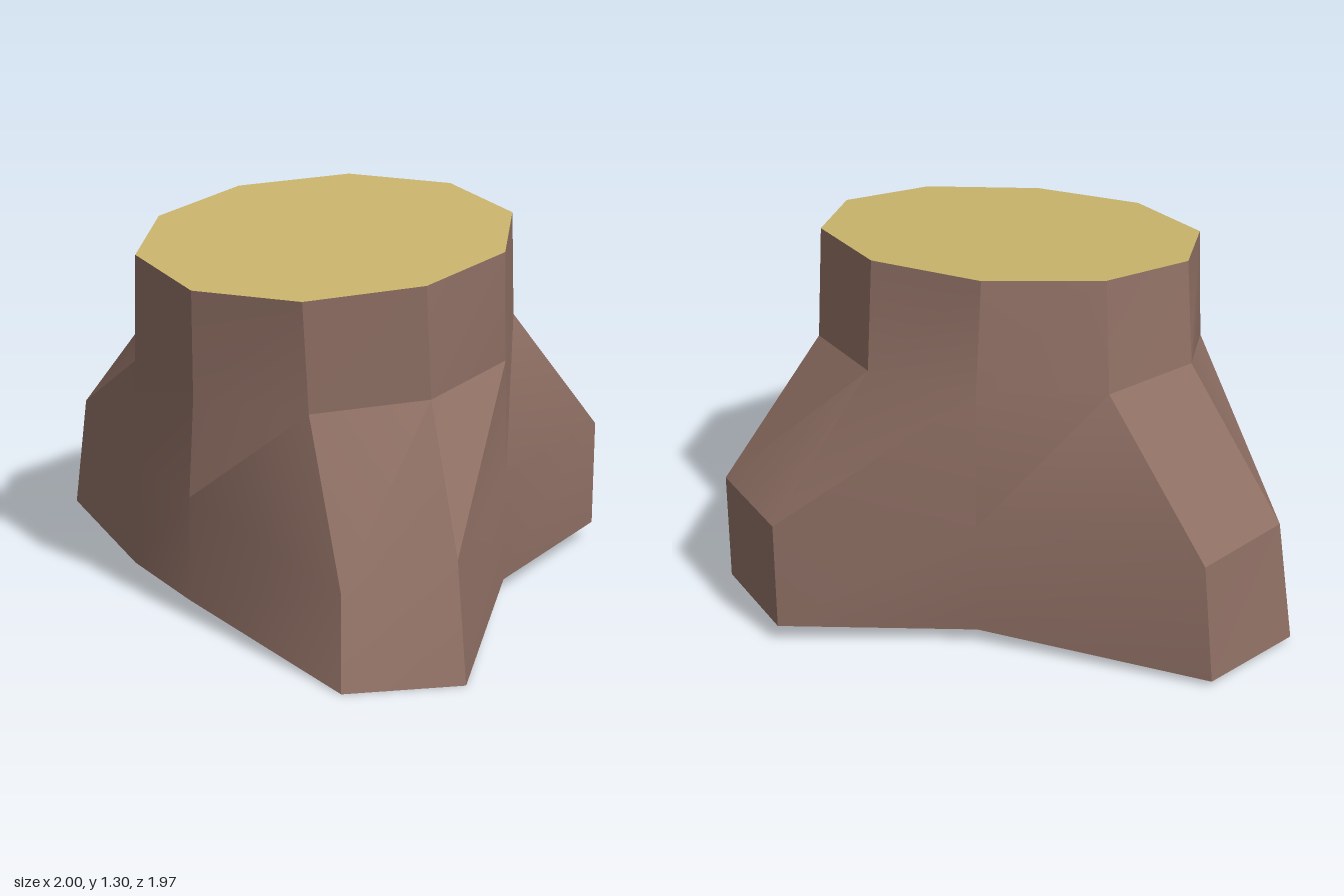
import * as THREE from 'three';
import { toCreasedNormals } from 'three/addons/utils/BufferGeometryUtils.js';

// Ten-sided cross-sections [x, y, z], clockwise from above, starting at the back
const RINGS = [
  // sloping cut
  [[-0.05, 1.30, -0.64], [0.35, 1.30, -0.64], [0.68, 1.27, -0.40], [0.80, 1.22, -0.02], [0.67, 1.17, 0.34],
    [0.34, 1.135, 0.58], [-0.05, 1.135, 0.60], [-0.39, 1.17, 0.36], [-0.505, 1.22, -0.02], [-0.38, 1.27, -0.40]],
  // neck
  [[-0.05, 0.925, -0.685], [0.35, 0.925, -0.685], [0.675, 0.895, -0.45], [0.80, 0.84, -0.05], [0.69, 0.79, 0.335],
    [0.36, 0.76, 0.57], [-0.06, 0.76, 0.575], [-0.41, 0.79, 0.34], [-0.55, 0.88, -0.08], [-0.42, 0.90, -0.46]],
  // root shoulders
  [[-0.05, 0.44, -0.70], [0.56, 0.44, -0.985], [0.89, 0.44, -0.75], [0.805, 0.44, -0.07], [0.915, 0.37, 0.64],
    [0.59, 0.26, 0.815], [-0.07, 0.42, 0.59], [-0.41, 0.43, 0.35], [-0.94, 0.43, -0.225], [-0.83, 0.43, -0.605]],
  // ground line
  [[-0.05, 0.05, -0.70], [0.56, 0.06, -0.985], [0.89, 0.06, -0.75], [0.805, 0.05, -0.07], [0.995, 0, 0.75],
    [0.67, 0, 0.985], [-0.07, 0.06, 0.60], [-0.41, 0.06, 0.36], [-1.0, 0.02, -0.24], [-0.87, 0.02, -0.62]],
];
const SIDES = 10;

function indexedGeometry(points, index) {
  const g = new THREE.BufferGeometry();
  g.setAttribute('position', new THREE.Float32BufferAttribute(points.flat(), 3));
  g.setIndex(index);
  return g;
}

export function createModel() {
  const bark = new THREE.MeshStandardMaterial({ color: 0x8d6e63, side: THREE.DoubleSide });
  bark.name = 'brown bark';
  const wood = new THREE.MeshStandardMaterial({ color: 0xcab56c, side: THREE.DoubleSide });
  wood.name = 'pale cut wood';

  const group = new THREE.Group();
  group.name = 'treeStump';

  // Bark wall flaring into three roots, open underneath
  const wall = [];
  for (let r = 0; r < RINGS.length - 1; r++) {
    for (let i = 0; i < SIDES; i++) {
      const j = (i + 1) % SIDES;
      const a = r * SIDES + i, b = r * SIDES + j;
      const c = a + SIDES, d = b + SIDES;
      wall.push(a, b, d, a, d, c);
    }
  }
  const trunk = new THREE.Mesh(toCreasedNormals(indexedGeometry(RINGS.flat(), wall), 0.52), bark);
  trunk.name = 'trunkAndRoots';
  group.add(trunk);

  // Sloping cut face
  const fan = [];
  for (let i = 1; i < SIDES - 1; i++) fan.push(0, i + 1, i);
  const capGeometry = indexedGeometry(RINGS[0], fan);
  capGeometry.computeVertexNormals();
  const cap = new THREE.Mesh(capGeometry, wood);
  cap.name = 'cutTop';
  group.add(cap);

  return group;
}
